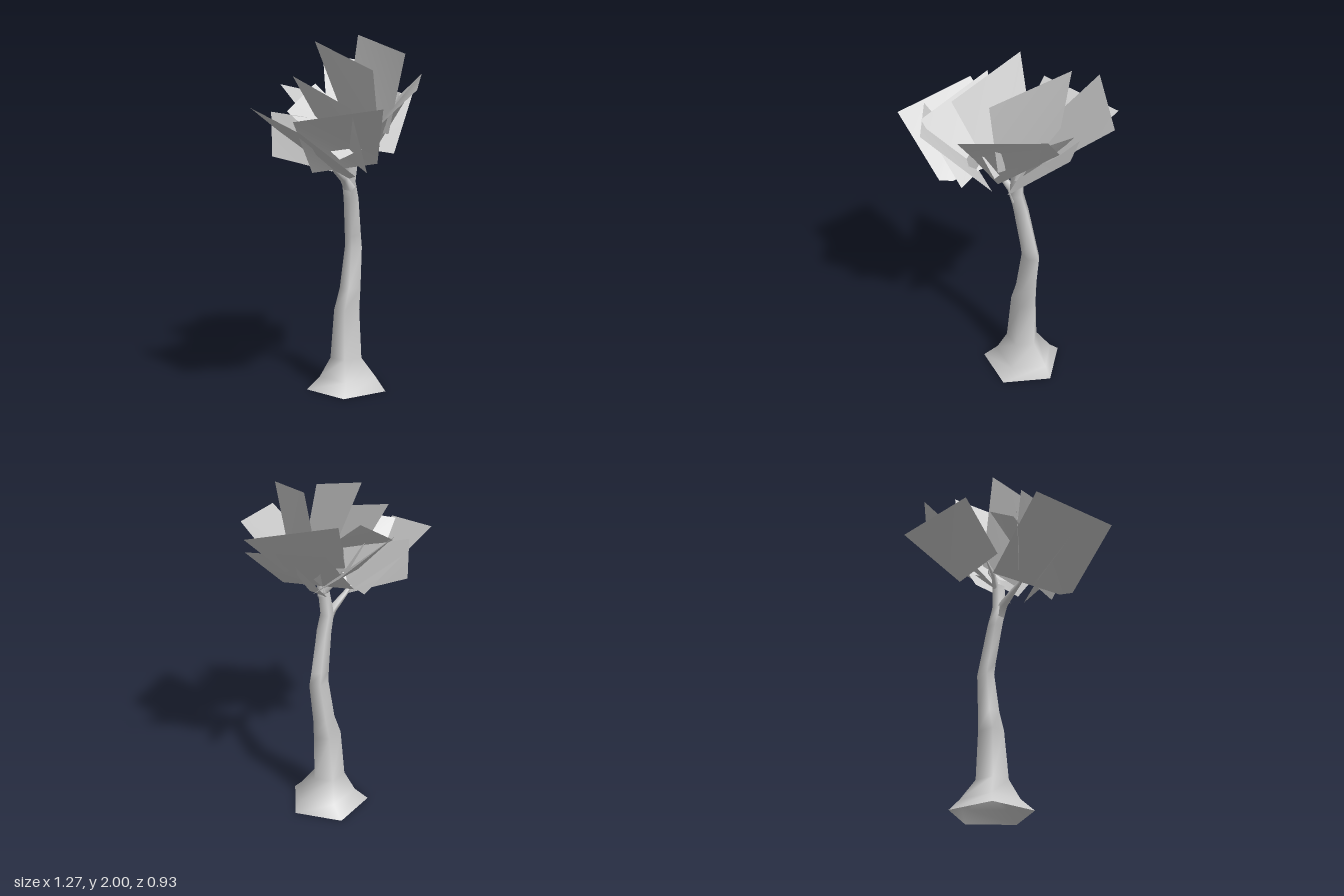
import * as THREE from 'three';

const material = new THREE.MeshStandardMaterial({ color: 0xcccccc, side: THREE.DoubleSide });

// Skin a list of equal-sized rings of points, open at both ends
function loft(rings) {
  const n = rings[0].length;
  const index = [];
  for (let r = 0; r < rings.length - 1; r++) {
    for (let i = 0; i < n; i++) {
      const a = r * n + i, b = r * n + (i + 1) % n;
      index.push(a, a + n, b, b, a + n, b + n);
    }
  }
  return surface(rings.flat().flatMap((p) => p.toArray()), index);
}

// Flat leaf card: a fan over its corners
function leafGeometry(corners) {
  const index = [];
  for (let i = 1; i < corners.length - 1; i++) index.push(0, i, i + 1);
  return surface(corners.flat(), index);
}

function surface(positions, index) {
  const geometry = new THREE.BufferGeometry();
  geometry.setAttribute('position', new THREE.Float32BufferAttribute(positions, 3));
  geometry.setIndex(index);
  geometry.computeVertexNormals();
  return geometry;
}

// Five-sided horizontal ring that fills the given x and z limits
function trunkRing([y, x0, x1, z0, z1]) {
  const rx = (x1 - x0) / 1.82, rz = (z1 - z0) / 1.9;
  const cx = x1 - rx, cz = z0 + 0.956 * rz;
  return Array.from({ length: 5 }, (_, i) => {
    const a = THREE.MathUtils.degToRad(143 + 72 * i);
    return new THREE.Vector3(cx + rx * Math.cos(a), y, cz + rz * Math.sin(a));
  });
}

// Tapered branch: rings set square to the path, each entry is x, y, z, radius
function branchGeometry(path) {
  const pts = path.map(([x, y, z]) => new THREE.Vector3(x, y, z));
  const up = new THREE.Vector3(0, 1, 0);
  return loft(pts.map((p, k) => {
    const dir = pts[Math.min(k + 1, pts.length - 1)].clone().sub(pts[Math.max(k - 1, 0)]).normalize();
    const turn = new THREE.Quaternion().setFromUnitVectors(up, dir);
    return Array.from({ length: 5 }, (_, i) => {
      const a = i * Math.PI * 0.4;
      return new THREE.Vector3(Math.cos(a), 0, Math.sin(a))
        .multiplyScalar(path[k][3]).applyQuaternion(turn).add(p);
    });
  }));
}

export function createModel() {
  const tree = new THREE.Group();
  tree.name = 'tree';
  const add = (name, geometry) => {
    const mesh = new THREE.Mesh(geometry, material);
    mesh.name = name;
    tree.add(mesh);
  };

  // Hollow trunk with flared root: y, then x limits and z limits
  const trunk = [
    [0, -0.13, 0.30, -0.25, 0.20],
    [0.07, -0.065, 0.26, -0.18, 0.13],
    [0.18, -0.02, 0.16, -0.11, 0.06],
    [0.46, 0.0, 0.163, -0.09, 0.035],
    [0.58, 0.04, 0.165, -0.08, 0.03],
    [0.81, 0.075, 0.19, -0.067, 0.015],
    [0.88, 0.068, 0.172, -0.06, 0.02],
    [1.10, 0.035, 0.12, -0.04, 0.04],
    [1.20, 0.01, 0.085, -0.03, 0.045],
    [1.36, 0.035, 0.095, -0.015, 0.055],
  ];
  add('trunk', loft(trunk.map(trunkRing)));

  // Branches
  add('leftBranch', branchGeometry([
    [0.05, 1.16, 0.01, 0.035], [0.0, 1.22, 0.01, 0.025],
    [-0.09, 1.28, 0.02, 0.016], [-0.2, 1.36, 0.04, 0.004]]));
  add('topBranch', branchGeometry([
    [0.065, 1.32, 0.02, 0.032], [0.08, 1.4, 0.02, 0.02],
    [0.13, 1.47, 0.01, 0.014], [0.13, 1.6, 0.0, 0.004]]));
  add('backBranch', branchGeometry([
    [0.07, 1.33, 0.01, 0.022], [0.03, 1.4, -0.04, 0.014], [0.02, 1.48, -0.1, 0.004]]));

  // Leaf cards, outer edge first, then back in toward the branches
  const leaves = {
    backLeaf: [[-0.13, 1.73, -0.35], [0.32, 1.655, -0.47], [0.24, 1.42, -0.13], [-0.09, 1.47, -0.1]],
    rightBackLeaf: [[0.256, 1.88, -0.38], [0.634, 1.82, -0.105], [0.3, 1.51, 0.03], [0.03, 1.52, -0.14]],
    rightLowLeaf: [[0.515, 1.66, 0.08], [0.29, 1.71, -0.32], [0.01, 1.41, -0.19], [0.19, 1.355, 0.21]],
    rightFrontLeaf: [[0.465, 1.785, 0.185], [0.085, 1.72, 0.45], [-0.05, 1.475, 0.23],
      [0.05, 1.33, 0.15], [0.4, 1.63, 0.04]],
    rightInnerLeaf: [[0.41, 1.7, -0.05], [0.35, 1.68, 0.125], [0.12, 1.34, 0.06], [0.12, 1.36, -0.1]],
    leftFrontLeaf: [[-0.555, 1.575, 0.155], [-0.205, 1.635, 0.46], [0.06, 1.31, 0.2], [-0.29, 1.28, 0.04]],
    leftOuterLeaf: [[-0.54, 1.63, -0.17], [-0.635, 1.53, 0.28], [-0.25, 1.28, 0.31],
      [-0.22, 1.26, 0.24], [-0.1, 1.33, -0.14]],
    leftUprightLeaf: [[-0.3, 1.79, -0.09], [-0.335, 1.64, 0.35], [-0.11, 1.28, 0.27], [-0.1, 1.42, 0.0]],
    topLeftLeaf: [[-0.083, 1.97, -0.13], [-0.117, 1.825, 0.315], [0.08, 1.4, 0.2], [0.11, 1.49, -0.06]],
    topRightLeaf: [[0.29, 2.0, -0.14], [0.165, 1.905, 0.305], [0.13, 1.47, 0.22], [0.18, 1.45, -0.145]],
    leftBackLeaf: [[-0.295, 1.6, -0.14], [-0.07, 1.74, -0.14], [-0.02, 1.43, 0.24], [-0.25, 1.36, 0.2]],
    leftEdgeLeaf: [[-0.375, 1.6, -0.18], [-0.38, 1.36, -0.17], [-0.12, 1.27, 0.03], [-0.1, 1.54, 0.05]],
  };
  for (const [name, corners] of Object.entries(leaves)) add(name, leafGeometry(corners));

  return tree;
}
